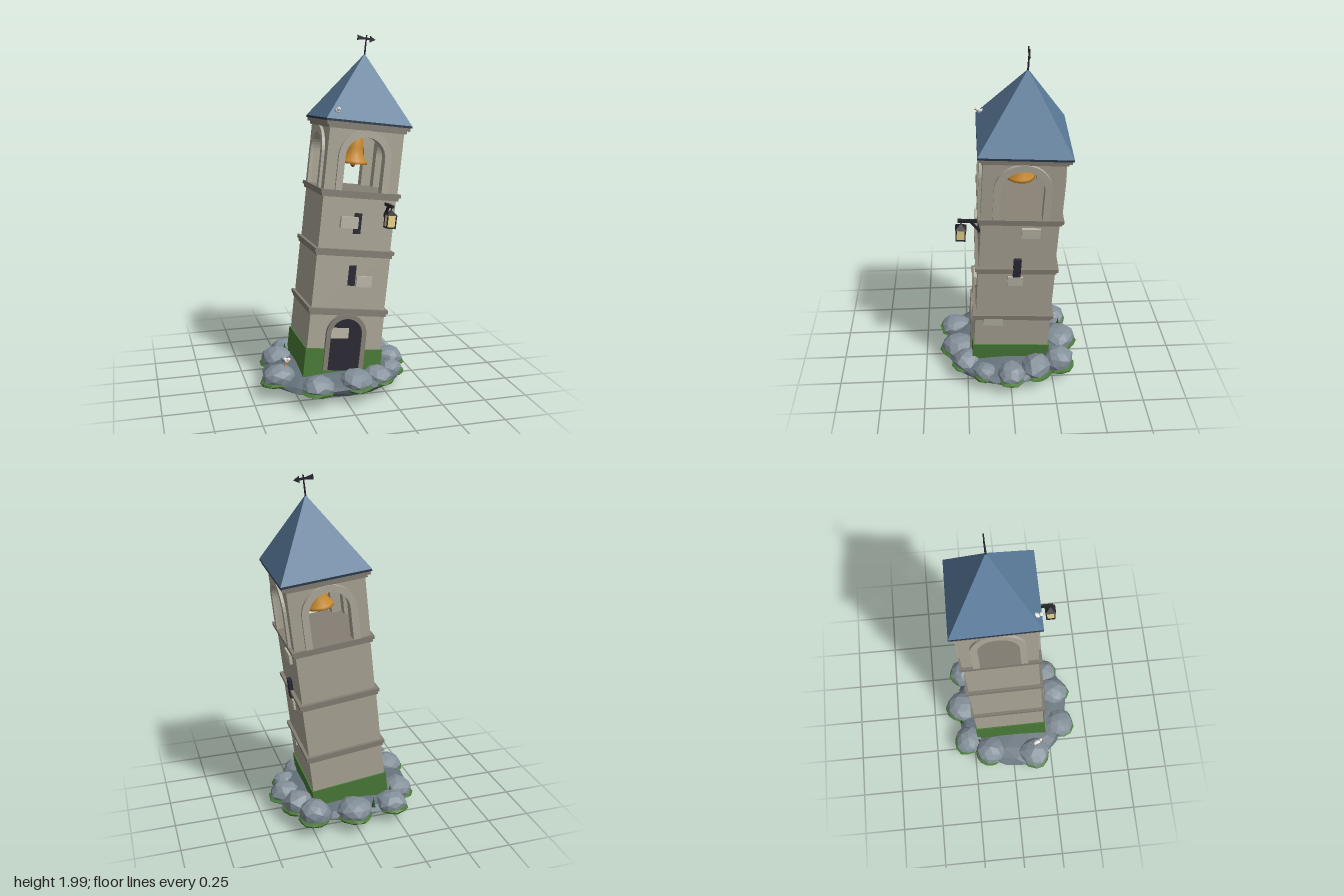
import * as THREE from 'three';

const mat = (color, side = THREE.FrontSide) =>
  new THREE.MeshStandardMaterial({ color, flatShading: true, side });
const M = {
  stone: mat(0xaaa596), trim: mat(0x857f74), arch: mat(0xb0ab9d), block: mat(0xbab5a6),
  dark: mat(0x2a2833), iron: mat(0x25252b), roof: mat(0x5a7a9a), eave: mat(0x2c3b4c),
  moss: mat(0x4a7a38), leaf: mat(0x2f5a2a), rock: mat(0x84909a), island: mat(0x66737c),
  gold: new THREE.MeshStandardMaterial({ color: 0xc98a2e, side: THREE.DoubleSide }),
  wood: mat(0x8a5230), glass: mat(0xead58a), white: mat(0xe8e6e2), beak: mat(0xd98a2a),
};

function add(parent, name, geo, material, x = 0, y = 0, z = 0) {
  const m = new THREE.Mesh(geo, material);
  m.name = name;
  m.position.set(x, y, z);
  parent.add(m);
  return m;
}
const box = (w, h, d) => new THREE.BoxGeometry(w, h, d);

// Arched outline standing on y = 0; r is half the width
function archPath(Type, r, top) {
  const p = new Type();
  p.moveTo(-r, 0);
  p.lineTo(r, 0);
  p.lineTo(r, top - r);
  p.absarc(0, top - r, r, 0, Math.PI, false);
  p.lineTo(-r, 0);
  return p;
}
function extrude(shape, depth) {
  return new THREE.ExtrudeGeometry(shape, { depth, bevelEnabled: false, curveSegments: 10 });
}
// Surround that follows an arch, open at the foot
function archTrim(r, top, w, depth) {
  const s = new THREE.Shape();
  s.moveTo(r, 0);
  s.lineTo(r + w, 0);
  s.lineTo(r + w, top - r);
  s.absarc(0, top - r, r + w, 0, Math.PI, false);
  s.lineTo(-r - w, 0);
  s.lineTo(-r, 0);
  s.lineTo(-r, top - r);
  s.absarc(0, top - r, r, Math.PI, 0, true);
  s.lineTo(r, 0);
  return extrude(s, depth);
}

// Faceted boulder: sphere pushed in and out by a position-based hash
function boulder(seed, detail = 1, amount = 0.16) {
  const g = new THREE.IcosahedronGeometry(1, detail);
  const p = g.attributes.position, v = new THREE.Vector3();
  for (let i = 0; i < p.count; i++) {
    v.fromBufferAttribute(p, i);
    const q = v.clone().multiplyScalar(100).round();
    const n = Math.sin(q.x * 1.27 + q.y * 3.11 + q.z * 7.47 + seed * 17.3) * 437.58;
    v.multiplyScalar(1 + amount * (n - Math.floor(n) - 0.6));
    p.setXYZ(i, v.x, v.y, v.z);
  }
  g.computeVertexNormals();
  return g;
}

function makeBird(name) {
  const b = new THREE.Group();
  b.name = name;
  const ball = new THREE.IcosahedronGeometry(1, 1);
  add(b, 'birdBody', ball, M.white).scale.set(0.015, 0.015, 0.025);
  add(b, 'birdHead', ball, M.white, 0, 0.013, 0.027).scale.setScalar(0.011);
  add(b, 'birdBeak', new THREE.ConeGeometry(0.004, 0.012, 5), M.beak, 0, 0.012, 0.041).rotation.x = Math.PI / 2;
  add(b, 'birdTail', box(0.014, 0.004, 0.02), M.trim, 0, 0.003, -0.028);
  for (const s of [-1, 1]) {
    add(b, 'birdWing', ball, M.rock, s * 0.014, 0.002, -0.005).scale.set(0.004, 0.009, 0.02);
    add(b, 'birdLeg', box(0.003, 0.02, 0.003), M.beak, s * 0.006, -0.02, 0);
  }
  return b;
}

function makeLantern() {
  const g = new THREE.Group();
  g.name = 'lantern';
  add(g, 'bracketArm', box(0.016, 0.016, 0.125), M.iron, 0, 0.07, -0.045);
  add(g, 'bracketBrace', box(0.012, 0.012, 0.1), M.iron, 0, 0.04, -0.073).rotation.x = -0.85;
  add(g, 'lanternHook', box(0.006, 0.02, 0.006), M.iron, 0, 0.058, 0);
  add(g, 'lanternRoof', new THREE.ConeGeometry(0.044, 0.028, 4), M.iron, 0, 0.038, 0).rotation.y = Math.PI / 4;
  add(g, 'lanternGlass', box(0.046, 0.066, 0.046), M.glass, 0, -0.008, 0);
  add(g, 'lanternFoot', box(0.054, 0.008, 0.054), M.iron, 0, -0.044, 0);
  for (const x of [-1, 1]) for (const z of [-1, 1])
    add(g, 'lanternPost', box(0.006, 0.068, 0.006), M.iron, x * 0.024, -0.008, z * 0.024);
  return g;
}

function makeTower() {
  const t = new THREE.Group();
  t.name = 'tower';
  // Solid stages, mossy foot and string courses
  for (const [w, y0, y1] of [[0.43, -0.05, 0.355], [0.425, 0.355, 0.69], [0.418, 0.69, 1.02]])
    add(t, 'wallStage', box(w, y1 - y0, w), M.stone, 0, (y0 + y1) / 2, 0);
  add(t, 'mossFoot', box(0.446, 0.18, 0.446), M.moss, 0, 0.052, 0);
  for (const [w, y] of [[0.46, 0.355], [0.457, 0.69], [0.457, 1.015]]) {
    add(t, 'ledgeTop', box(w, 0.02, w), M.trim, 0, y + 0.009, 0);
    add(t, 'ledgeUnder', box(w - 0.016, 0.018, w - 0.016), M.trim, 0, y - 0.01, 0);
  }
  // Door
  const door = archPath(THREE.Shape, 0.09, 0.3);
  add(t, 'door', extrude(door, 0.015), M.dark, 0, 0.02, 0.212);
  add(t, 'doorSurround', archTrim(0.09, 0.3, 0.026, 0.026), M.trim, 0, 0.02, 0.21);
  // Window slits and protruding blocks on front and left walls
  for (const [x, y, w, h] of [[-0.04, 0.236, 0.105, 0.06], [0.07, 0.533, 0.09, 0.06], [-0.05, 0.86, 0.1, 0.064]])
    add(t, 'wallBlock', box(w, h, 0.03), M.block, x, y, 0.216);
  for (const y of [0.563, 0.856]) add(t, 'windowSlit', box(0.042, 0.115, 0.02), M.dark, 0, y, 0.206);
  for (const [z, y, w, h] of [[0.112, 0.32, 0.11, 0.05], [0.005, 0.62, 0.085, 0.06], [-0.06, 0.945, 0.1, 0.06]])
    add(t, 'wallBlock', box(0.03, h, w), M.block, 0.21, y, z);
  add(t, 'windowSlit', box(0.05, 0.115, 0.042), M.dark, 0.206, 0.715, 0);

  // Belfry: four pierced walls with arch surrounds
  for (let i = 0; i < 4; i++) {
    const side = new THREE.Group();
    side.name = 'belfrySide';
    side.rotation.y = i * Math.PI / 2;
    t.add(side);
    const hw = i % 2 ? 0.17 : 0.212;
    const s = new THREE.Shape();
    s.moveTo(-hw, -0.005);
    s.lineTo(hw, -0.005);
    s.lineTo(hw, 0.345);
    s.lineTo(-hw, 0.345);
    s.closePath();
    s.holes.push(archPath(THREE.Path, 0.113, 0.3));
    add(side, 'belfryWall', extrude(s, 0.042), M.stone, 0, 1.032, 0.17);
    add(side, 'belfryArch', archTrim(0.113, 0.3, 0.038, 0.02), M.arch, 0, 1.032, 0.208);
  }
  add(t, 'corniceUnder', box(0.445, 0.02, 0.445), M.trim, 0, 1.378, 0);
  add(t, 'corniceTop', box(0.472, 0.02, 0.472), M.trim, 0, 1.395, 0);

  // Bell on its beam
  add(t, 'bellBeam', box(0.36, 0.03, 0.03), M.wood, 0, 1.345, 0);
  const bell = [[0, 0.165], [0.03, 0.16], [0.042, 0.145], [0.047, 0.09], [0.056, 0.045], [0.078, 0.015], [0.081, 0], [0.07, 0], [0.045, 0.045], [0, 0.14]];
  add(t, 'bell', new THREE.LatheGeometry(bell.map(p => new THREE.Vector2(...p)).reverse(), 20), M.gold, 0, 1.172, 0);
  add(t, 'clapper', new THREE.SphereGeometry(0.014, 10, 8), M.wood, 0, 1.165, 0);
  add(t, 'clapperRod', new THREE.CylinderGeometry(0.004, 0.004, 0.13, 6), M.wood, 0, 1.235, 0);

  // Roof and weather vane
  add(t, 'eave', box(0.486, 0.012, 0.486), M.eave, 0, 1.41, 0);
  add(t, 'roof', new THREE.ConeGeometry(0.243 * Math.SQRT2, 0.375, 4), M.roof, 0, 1.6035, 0).rotation.y = Math.PI / 4;
  add(t, 'vanePole', new THREE.CylinderGeometry(0.004, 0.005, 0.125, 6), M.iron, 0, 1.832, 0);
  const arrow = new THREE.Shape([[-0.052, 0.016], [-0.052, -0.012], [-0.015, -0.005], [0.022, -0.005], [0.022, -0.018],
    [0.054, 0], [0.022, 0.018], [0.022, 0.007], [-0.015, 0.007]].map(p => new THREE.Vector2(...p)));
  add(t, 'vaneArrow', extrude(arrow, 0.006), M.iron, 0, 1.873, -0.003);

  const lantern = makeLantern();
  lantern.position.set(0.152, 0.905, 0.312);
  t.add(lantern);
  return t;
}

export function createModel() {
  const g = new THREE.Group();
  g.name = 'leaningBellTower';

  // Rocky island
  add(g, 'island', boulder(3, 2, 0.06), M.island, 0, 0.085, 0.02).scale.set(0.42, 0.077, 0.365);

  // Ring of boulders: x, z, radius, height of top
  const rocks = [[-0.22, -0.285, 0.09, 0.17], [-0.3, -0.15, 0.095, 0.18], [-0.34, 0.135, 0.1, 0.18],
    [-0.16, 0.315, 0.094, 0.165], [0.06, 0.3, 0.102, 0.17], [0.2, 0.25, 0.085, 0.165], [0.01, -0.31, 0.102, 0.18],
    [0.24, -0.285, 0.09, 0.2], [0.35, 0.0, 0.085, 0.175], [0.3, -0.15, 0.09, 0.19], [0.31, 0.15, 0.07, 0.15]];
  rocks.forEach(([x, z, r, top], i) => {
    const geo = boulder(i + 1), half = (top - 0.055) / 2, l = Math.hypot(x, z);
    const rock = add(g, 'boulder', geo, M.rock, x, top - half, z);
    rock.scale.set(r, half * 1.08, r);
    rock.rotation.y = i * 1.3;
    const moss = add(g, 'boulderMoss', geo, M.moss, x + x / l * 0.012, 0.088, z + z / l * 0.012);
    moss.scale.set(r, 0.022, r);
    moss.rotation.y = i * 1.3;
  });
  // Small tufts
  for (const [x, z] of [[-0.24, -0.215], [-0.1, -0.32]])
    add(g, 'tuft', new THREE.ConeGeometry(0.012, 0.06, 5), M.leaf, x, 0.15, z);

  const tower = makeTower();
  tower.position.y = 0.12;
  tower.rotation.set(-0.05, 0, -0.12);
  g.add(tower);

  const groundBird = makeBird('groundBird');
  groundBird.position.set(-0.307, 0.215, 0.155);
  groundBird.rotation.y = 0.45;
  const roofBird = makeBird('roofBird');
  roofBird.position.set(-0.003, 1.597, 0.135);
  g.add(groundBird, roofBird);
  return g;
}
